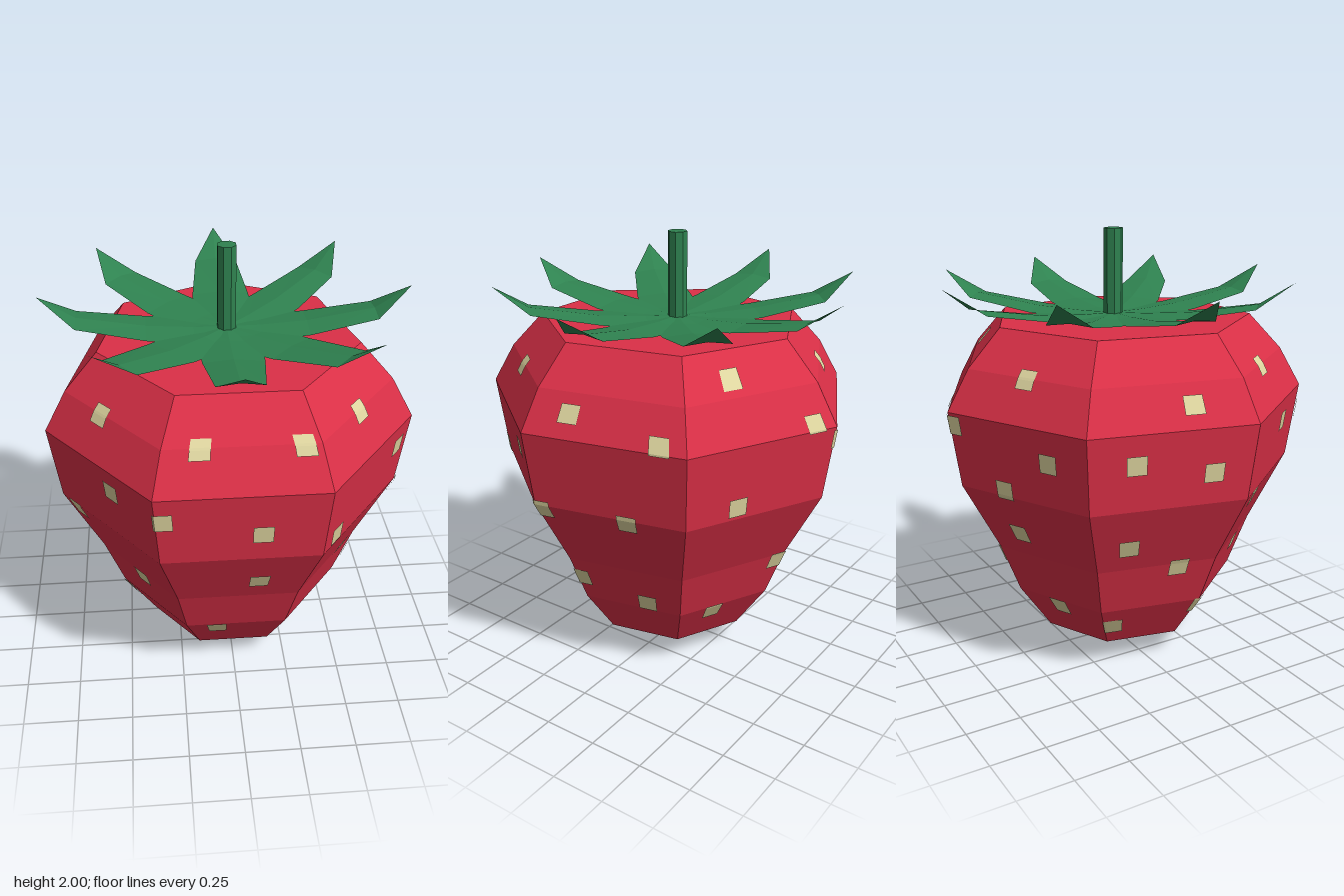
import * as THREE from 'three';
import { mergeGeometries } from 'three/addons/utils/BufferGeometryUtils.js';

const SIDES = 7, STEP = Math.PI * 2 / SIDES, APOTHEM = Math.cos(STEP / 2);

// Fruit outline from the bottom tip up: [corner radius, height]
const PROFILE = [[0, 0], [0.38, 0.12], [0.53, 0.345], [0.62, 0.58], [0.79, 0.91],
  [0.84, 1.255], [0.74, 1.435], [0.59, 1.6], [0, 1.6]];

// Seeds on each of the seven faces, from the front face round by +x: [offset along face, height]
const SEEDS = [
  [[-0.165, 1.43], [0.25, 1.43], [-0.325, 1.14], [0.085, 1.05], [0.085, 0.715], [-0.085, 0.305]],
  [[-0.01, 1.43], [0.25, 1.15], [-0.25, 0.97], [0.075, 0.64], [-0.025, 0.235]],
  [[-0.16, 1.355], [0.24, 1.285], [-0.31, 0.89], [0.08, 0.89], [-0.225, 0.475], [0.08, 0.39]],
  [[-0.08, 1.5], [0.255, 1.285], [-0.1, 0.97], [0.23, 0.55], [-0.05, 0.31]],
  [[0, 1.43], [-0.335, 1.2], [0.158, 1.11], [-0.09, 0.94], [-0.096, 0.705], [-0.01, 0.305]],
  [[0.09, 1.35], [-0.153, 1.12], [0.178, 1.055], [-0.145, 0.705], [0.096, 0.56], [-0.155, 0.235]],
  [[-0.06, 1.43], [0.08, 1.15], [-0.233, 0.88], [0.016, 0.555], [-0.205, 0.31]],
];

// Corner radius of the fruit at a height
function radiusAt(y) {
  let i = 1;
  while (i < PROFILE.length - 2 && PROFILE[i][1] < y) i++;
  const [r0, y0] = PROFILE[i - 1], [r1, y1] = PROFILE[i];
  return r0 + (r1 - r0) * (y - y0) / (y1 - y0);
}

// Small patch draped over the faceted skin
function seedGeometry(face, offset, height) {
  const mid = radiusAt(height) * APOTHEM;
  const centre = face * STEP + Math.atan2(offset, mid);
  const width = 0.085 * Math.cos(centre - face * STEP) / Math.hypot(mid, offset);
  const tall = height > 1.26 ? 0.074 : 0.086;
  const geo = new THREE.PlaneGeometry(1, 1, 8, 8);
  const pos = geo.attributes.position;
  for (let i = 0; i < pos.count; i++) {
    const a = centre + pos.getX(i) * width;
    const y = height + pos.getY(i) * tall;
    const off = a - Math.round(a / STEP) * STEP;
    const r = radiusAt(y) * APOTHEM / Math.cos(off) + 0.006;
    pos.setXYZ(i, r * Math.sin(a), y, r * Math.cos(a));
  }
  geo.computeVertexNormals();
  return geo;
}

// Upturned leaf along +z with a slight ridge, lofted from [distance, half width, height]
function leafGeometry() {
  const rows = [[0, 0.1, 1.606], [0.15, 0.138, 1.608], [0.36, 0.132, 1.622],
    [0.665, 0.1, 1.672], [0.825, 0, 1.785]];
  const verts = [], index = [];
  rows.forEach(([z, w, y], i) => {
    const ridge = w > 0 ? 0.012 : 0;
    verts.push(-w, y, z, 0, y + ridge, z, w, y, z);
    if (i === 0) return;
    for (let k = 0; k < 2; k++) {
      const a = (i - 1) * 3 + k, b = a + 3;
      if (i < rows.length - 1) index.push(a, b, b + 1, a, b + 1, a + 1);
      else index.push(a, b, a + 1);
    }
  });
  const geo = new THREE.BufferGeometry();
  geo.setAttribute('position', new THREE.Float32BufferAttribute(verts, 3));
  geo.setIndex(index);
  geo.computeVertexNormals();
  return geo;
}

export function createModel() {
  const red = new THREE.MeshStandardMaterial({ name: 'berry red', color: 0xdb3047, flatShading: true });
  const cream = new THREE.MeshStandardMaterial({ name: 'seed cream', color: 0xdfd6a0, flatShading: true });
  const green = new THREE.MeshStandardMaterial({
    name: 'leaf green', color: 0x2f8250, flatShading: true, side: THREE.DoubleSide });

  const model = new THREE.Group();
  model.name = 'strawberry';
  const add = (parent, name, geo, mat) => {
    const mesh = new THREE.Mesh(geo, mat);
    mesh.name = name;
    parent.add(mesh);
    return mesh;
  };

  // Seven-sided fruit with its seeds
  const fruit = new THREE.Group();
  fruit.name = 'fruit';
  fruit.scale.z = 1.03;
  fruit.position.z = 0.04;
  model.add(fruit);
  const points = PROFILE.map(([r, y]) => new THREE.Vector2(r, y));
  add(fruit, 'flesh', new THREE.LatheGeometry(points, SIDES, STEP / 2), red);
  const patches = SEEDS.flatMap((list, face) => list.map(([t, y]) => seedGeometry(face, t, y)));
  add(fruit, 'seeds', mergeGeometries(patches), cream);

  // Ring of eight leaves
  const crown = new THREE.Group();
  crown.name = 'leafCrown';
  model.add(crown);
  const leaf = leafGeometry();
  for (let i = 0; i < 8; i++) add(crown, 'leaf', leaf, green).rotation.y = i * Math.PI / 4;

  // Stem
  const stem = add(model, 'stem', new THREE.CylinderGeometry(0.044, 0.044, 0.4, 8), green);
  stem.position.y = 1.8;
  stem.rotation.y = Math.PI / 8;
  return model;
}
